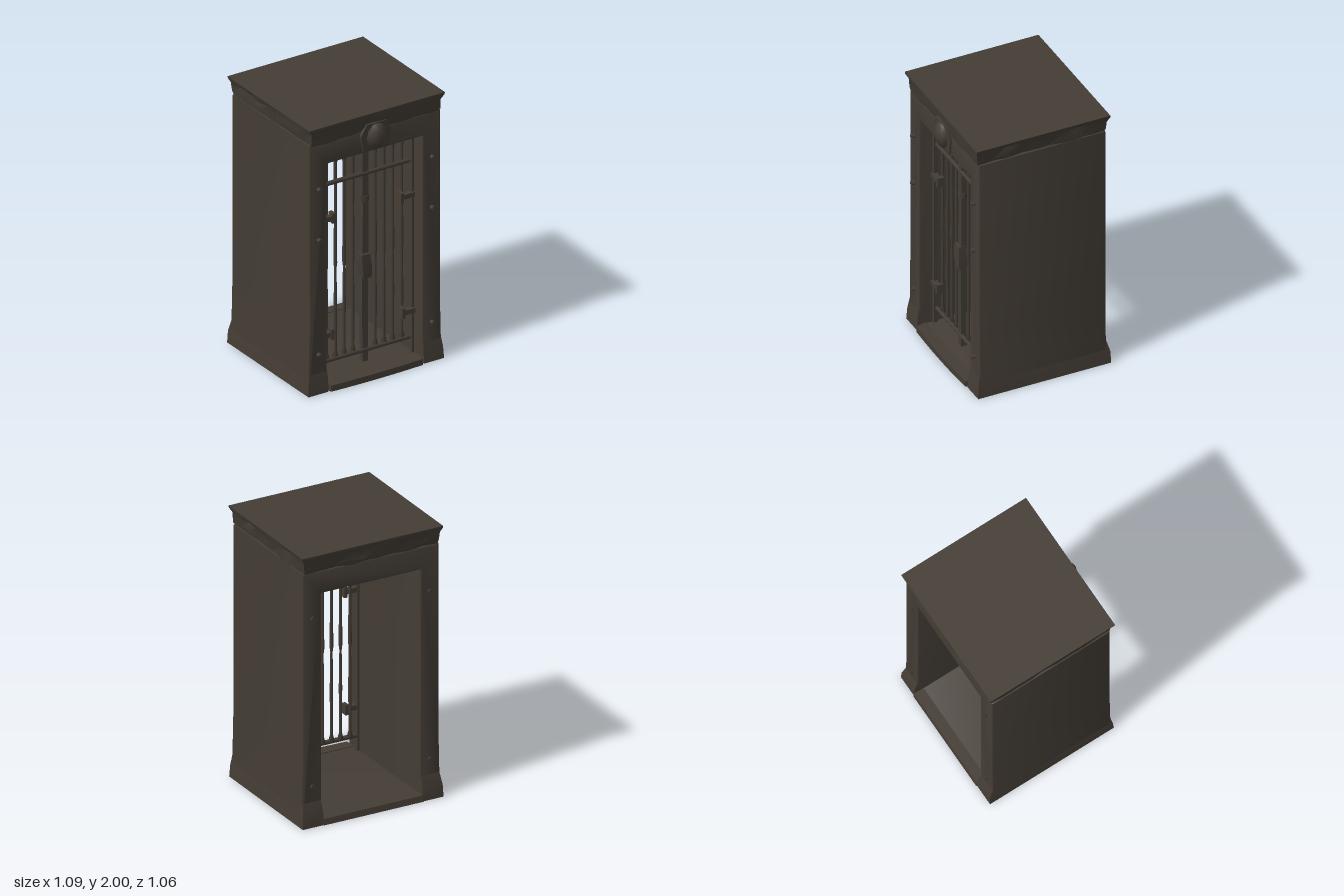
import * as THREE from 'three';
import { toCreasedNormals } from 'three/addons/utils/BufferGeometryUtils.js';

export function createModel() {
  const model = new THREE.Group();
  const stone = new THREE.MeshStandardMaterial({ color: 0x443d35 });
  stone.name = 'dark weathered brown';

  let seed = 7;
  const rand = () => ((seed = (seed * 16807) % 2147483647) / 2147483647);
  const add = (name, geo, x = 0, y = 0, z = 0, parent = model) => {
    const m = new THREE.Mesh(geo, stone);
    m.name = name;
    m.position.set(x, y, z);
    parent.add(m);
    return m;
  };

  // Closed block through rectangular rings [x0, x1, z0, z1, y, roughness], bottom to top
  function loft(rings, n = 1) {
    const pos = [], idx = [], count = 4 * n;
    for (const [x0, x1, z0, z1, y, rough = 0] of rings) {
      const corners = [[x0, z1], [x1, z1], [x1, z0], [x0, z0]];
      for (let s = 0; s < 4; s++) for (let i = 0; i < n; i++) {
        const a = corners[s], b = corners[(s + 1) % 4], t = i / n;
        const k = 1 - rough * rand();
        pos.push((a[0] + (b[0] - a[0]) * t) * k, y + rough * (rand() - 0.5), (a[1] + (b[1] - a[1]) * t) * k);
      }
    }
    const last = (rings.length - 1) * count;
    for (let r = 0; r < last; r += count) for (let i = 0; i < count; i++) {
      const j = (i + 1) % count;
      idx.push(r + i, r + j, r + count + j, r + i, r + count + j, r + count + i);
    }
    for (const [ring, base] of [[rings[0], 0], [rings[rings.length - 1], last]]) {
      const c = pos.length / 3;
      pos.push((ring[0] + ring[1]) / 2, ring[4], (ring[2] + ring[3]) / 2);
      for (let i = 0; i < count; i++) {
        const j = (i + 1) % count;
        if (base) idx.push(c, base + i, base + j);
        else idx.push(c, j, i);
      }
    }
    const g = new THREE.BufferGeometry();
    g.setAttribute('position', new THREE.Float32BufferAttribute(pos, 3));
    g.setIndex(idx);
    return toCreasedNormals(g, 0.7);
  }

  // Cell walls: flared outline with a passage open from front to back
  const outline = new THREE.Shape([[-0.54, 0], [0.54, 0], [0.535, 0.2], [0.528, 0.5], [0.528, 1.87],
    [-0.528, 1.87], [-0.528, 0.5], [-0.535, 0.2]].map(p => new THREE.Vector2(...p)));
  outline.holes.push(new THREE.Path([[-0.382, 0.04], [-0.382, 1.7], [0.382, 1.7], [0.382, 0.04]]
    .map(p => new THREE.Vector2(...p))));
  const walls = new THREE.ExtrudeGeometry(outline, {
    depth: 0.92, bevelThickness: 0.017, bevelSize: 0.015, bevelOffset: -0.015, bevelSegments: 2 });
  add('cellWalls', toCreasedNormals(walls, 0.6), 0, 0, -0.48);

  // Rough, outward-flaring roof slab
  add('roofCornice', loft([
    [-0.515, 0.515, -0.49, 0.455, 1.85, 0.03],
    [-0.53, 0.53, -0.51, 0.475, 1.89, 0.03],
    [-0.528, 0.528, -0.508, 0.475, 1.95, 0.02],
    [-0.542, 0.542, -0.52, 0.482, 1.985],
    [-0.545, 0.545, -0.52, 0.482, 2.0],
  ], 9));

  // Side plinths and the sills between them
  for (const s of [-1, 1]) {
    const [a, b, c] = s > 0 ? [[0.384, 0.545], [0.384, 0.54], [0.39, 0.525]] : [[-0.545, -0.384], [-0.54, -0.384], [-0.525, -0.39]];
    add(s > 0 ? 'leftPlinth' : 'rightPlinth', loft([
      [...a, -0.525, 0.472, 0], [...b, -0.522, 0.466, 0.09], [...c, -0.49, 0.45, 0.2]], 2));
  }
  add('backSill', loft([[-0.385, 0.385, -0.531, -0.45, 0], [-0.385, 0.385, -0.525, -0.45, 0.045]]));
  const sill = new THREE.Shape();
  sill.moveTo(-0.385, -0.4);
  sill.lineTo(0.385, -0.4);
  sill.lineTo(0.37, -0.483);
  sill.quadraticCurveTo(0, -0.502, -0.37, -0.483);
  const sillMesh = add('frontSill', new THREE.ExtrudeGeometry(sill, { depth: 0.045, bevelEnabled: false }));
  sillMesh.rotation.x = -Math.PI / 2;

  // Carved boss over the doorway
  add('lintelPlaque', loft([
    [-0.1, 0.1, 0.44, 0.468, 1.72], [-0.125, 0.12, 0.44, 0.476, 1.84], [-0.08, 0.08, 0.44, 0.48, 1.92]], 2));
  const boss = add('carvedBoss', new THREE.SphereGeometry(1, 8, 6), 0, 1.82, 0.465);
  boss.scale.set(0.085, 0.1, 0.06);

  // Studs on the pillars, front and back
  const stud = new THREE.CylinderGeometry(0.014, 0.02, 0.04, 6).rotateX(Math.PI / 2);
  for (const s of [-1, 1]) {
    for (const y of [0.29, 1.15, 1.53]) add('frontStud', stud, s * 0.455, y, 0.463);
    for (const y of [0.29, 1.53]) add('backStud', stud, s * 0.455, y, -0.493);
  }

  // Barred gate set back in the doorway
  const gate = new THREE.Group();
  gate.name = 'gate';
  gate.position.z = 0.32;
  model.add(gate);
  const barProfile = [[0, 0.15], [0.022, 0.16], [0.01, 0.21], [0.012, 0.55], [0.008, 0.82], [0.013, 0.86],
    [0.01, 1.2], [0.011, 1.6], [0.018, 1.68], [0.012, 1.7]].map(p => new THREE.Vector2(...p));
  const bar = new THREE.LatheGeometry(barProfile, 6);
  const hinge = new THREE.BoxGeometry(0.11, 0.035, 0.04);
  const hingeEnd = new THREE.BoxGeometry(0.025, 0.075, 0.05);
  for (const s of [-1, 1]) {
    for (const x of [0.09, 0.16, 0.23, 0.303]) add('bar', bar, s * x, 0, 0, gate);
    add('gateEdge', new THREE.BoxGeometry(0.018, 1.66, 0.03), s * 0.372, 0.87, 0.02, gate);
    for (const [y, x] of [[1.23, 0.325], [0.36, 0.335]]) {
      add('hinge', hinge, s * x, y, 0.03, gate);
      add('hingeEnd', hingeEnd, s * (x - 0.05), y, 0.03, gate);
    }
  }
  const rail = new THREE.CylinderGeometry(0.016, 0.016, 0.72, 6).rotateZ(Math.PI / 2);
  add('upperRail', rail, 0, 1.48, 0.012, gate);
  add('lowerRail', rail, 0, 0.155, 0.012, gate);

  // Meeting post with lock
  add('meetingPost', loft([
    [-0.022, 0.018, -0.02, 0.02, 0.07], [-0.03, 0.02, -0.02, 0.02, 0.5],
    [-0.022, 0.024, -0.02, 0.02, 1.2], [-0.027, 0.022, -0.02, 0.02, 1.7]]), 0, 0, 0, gate);
  add('lock', loft([
    [-0.025, 0.036, -0.03, 0.03, 0.7], [-0.04, 0.036, -0.035, 0.035, 0.78],
    [-0.042, 0.025, -0.03, 0.03, 0.88]]), 0, 0, 0.01, gate);
  add('postCollar', new THREE.CylinderGeometry(0.033, 0.033, 0.04, 6), 0, 1.29, 0, gate);

  return model;
}
